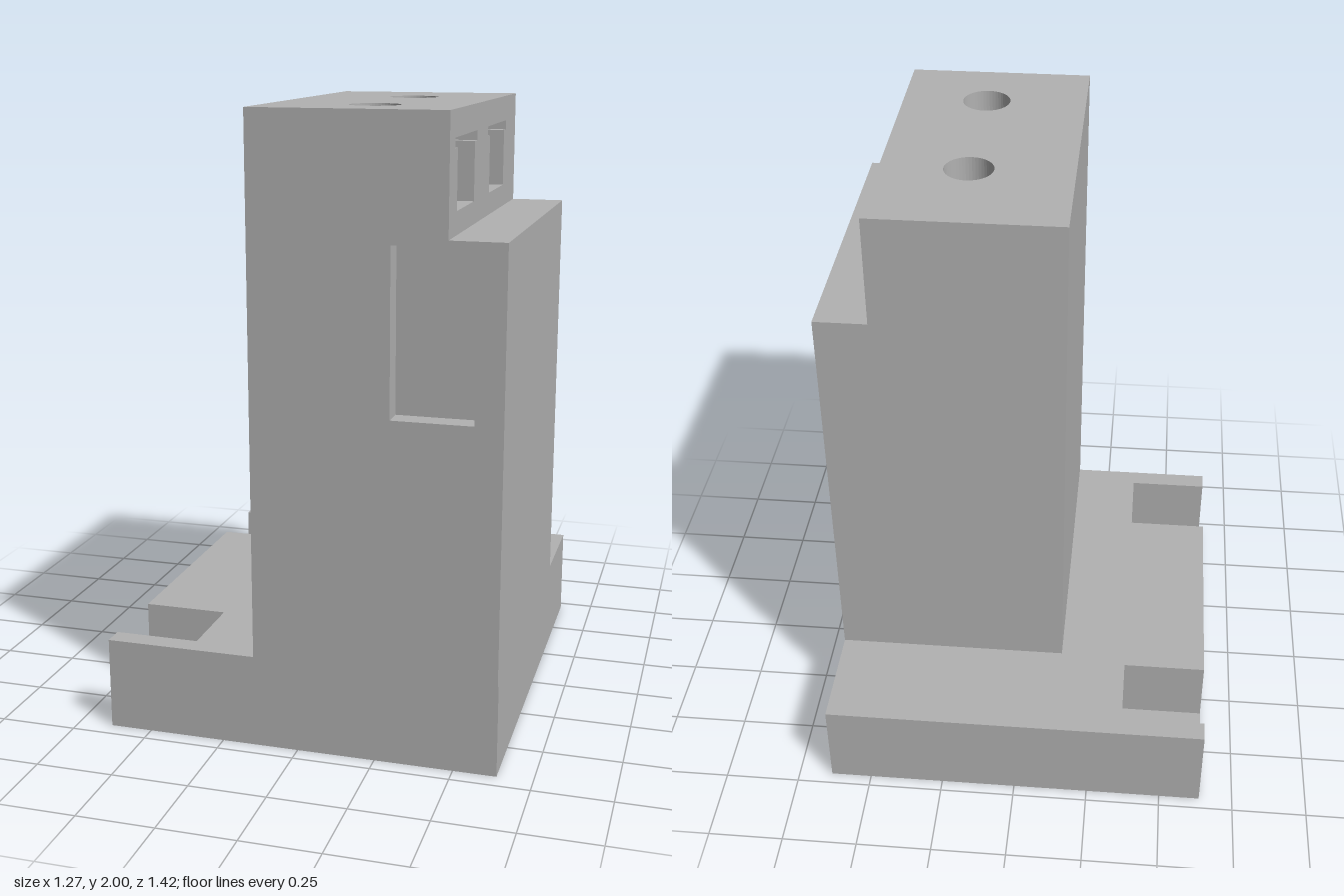
import * as THREE from 'three';

const rect = (x0, x1, z0, z1) => [[x0, z0], [x1, z0], [x1, z1], [x0, z1]];

function circle(x, z, r, n = 48) {
  return Array.from({ length: n }, (_, i) => {
    const a = (i / n) * Math.PI * 2;
    return [x + r * Math.cos(a), z + r * Math.sin(a)];
  });
}

const toVectors = (pts) => pts.map(([x, z]) => new THREE.Vector2(x, z));

export function createModel() {
  const model = new THREE.Group();
  const grey = new THREE.MeshStandardMaterial({ color: 0xb2b2b2 });
  grey.name = 'grey';

  // Horizontal layer: an x/z outline with holes, from height y0 to y1
  function layer(parent, name, y0, y1, outline, holes = []) {
    const shape = new THREE.Shape(toVectors(outline));
    for (const h of holes) shape.holes.push(new THREE.Path(toVectors(h)));
    const geo = new THREE.ExtrudeGeometry(shape, { depth: y1 - y0, bevelEnabled: false });
    geo.rotateX(Math.PI / 2).translate(0, y1, 0);
    const mesh = new THREE.Mesh(geo, grey);
    mesh.name = name;
    parent.add(mesh);
  }

  const base = new THREE.Group();
  base.name = 'base';
  const tower = new THREE.Group();
  tower.name = 'tower';
  model.add(base, tower);

  // Main dimensions
  const X0 = -0.637, X1 = 0.637, Z0 = -0.71, Z1 = 0.695;
  const tx0 = -0.138, tz0 = -0.355, tz1 = 0.71, stepX = 0.466;
  const ix0 = -0.073, ix1 = 0.57, iz0 = -0.29, iz1 = 0.64;

  // Base: hollow underneath, two screw pockets open to the side
  const pockets = [[-0.64, -0.393], [0.378, 0.627]];
  const pocketX = -0.36;
  const cavity = [
    [ix1, -0.635], [ix1, iz1], [-0.3, iz1], [-0.3, 0.325],
    [-0.573, 0.325], [-0.573, -0.325], [-0.3, -0.325], [-0.3, -0.635],
  ];
  const notched = [[X0, Z0]];
  for (const [a, b] of pockets) notched.push([X0, a], [pocketX, a], [pocketX, b], [X0, b]);
  notched.push([X0, Z1], [X1, Z1], [X1, Z0]);
  const towerCavity = rect(ix0, ix1, iz0, iz1);

  layer(base, 'baseFoot', 0, 0.08, rect(X0, X1, Z0, Z1),
    [cavity, circle(-0.512, -0.518, 0.079), circle(-0.512, 0.502, 0.079)]);
  layer(base, 'baseWalls', 0.08, 0.23, notched, [cavity]);
  layer(base, 'baseTop', 0.23, 0.3, notched, [towerCavity]);

  // Tower: hollow shaft with an opening in the front wall
  const wx0 = 0.298, wx1 = 0.55;
  const body = rect(tx0, X1, tz0, tz1);
  layer(tower, 'lowerShaft', 0.3, 1.105, body, [towerCavity]);
  layer(tower, 'windowShaft', 1.105, 1.57, [
    [tx0, tz0], [X1, tz0], [X1, tz1], [wx1, tz1], [wx1, iz1], [ix1, iz1],
    [ix1, iz0], [ix0, iz0], [ix0, iz1], [wx0, iz1], [wx0, tz1], [tx0, tz1],
  ]);
  layer(tower, 'windowHead', 1.57, 1.62, [
    [tx0, tz0], [X1, tz0], [X1, tz1], [wx1, tz1], [wx1, iz1],
    [wx0, iz1], [wx0, tz1], [tx0, tz1],
  ]);
  layer(tower, 'shoulder', 1.62, 1.64, body);

  // Upper block: two side pockets, each with a wider slot and a bolt hole above
  const centres = [-0.017, 0.477];
  function sideNotches(half, depthX) {
    const pts = [[tx0, tz0], [stepX, tz0]];
    for (const c of centres) {
      pts.push([stepX, c - half], [depthX, c - half], [depthX, c + half], [stepX, c + half]);
    }
    return [...pts, [stepX, tz1], [tx0, tz1]];
  }
  const top = rect(tx0, stepX, tz0, tz1);
  layer(tower, 'pocketFloor', 1.64, 1.71, top);
  layer(tower, 'sidePockets', 1.71, 1.89, sideNotches(0.125, 0.065));
  layer(tower, 'sideSlots', 1.89, 1.92, sideNotches(0.16, 0.03));
  layer(tower, 'towerTop', 1.92, 2, top, centres.map((c) => circle(0.19, c, 0.078)));

  return model;
}
